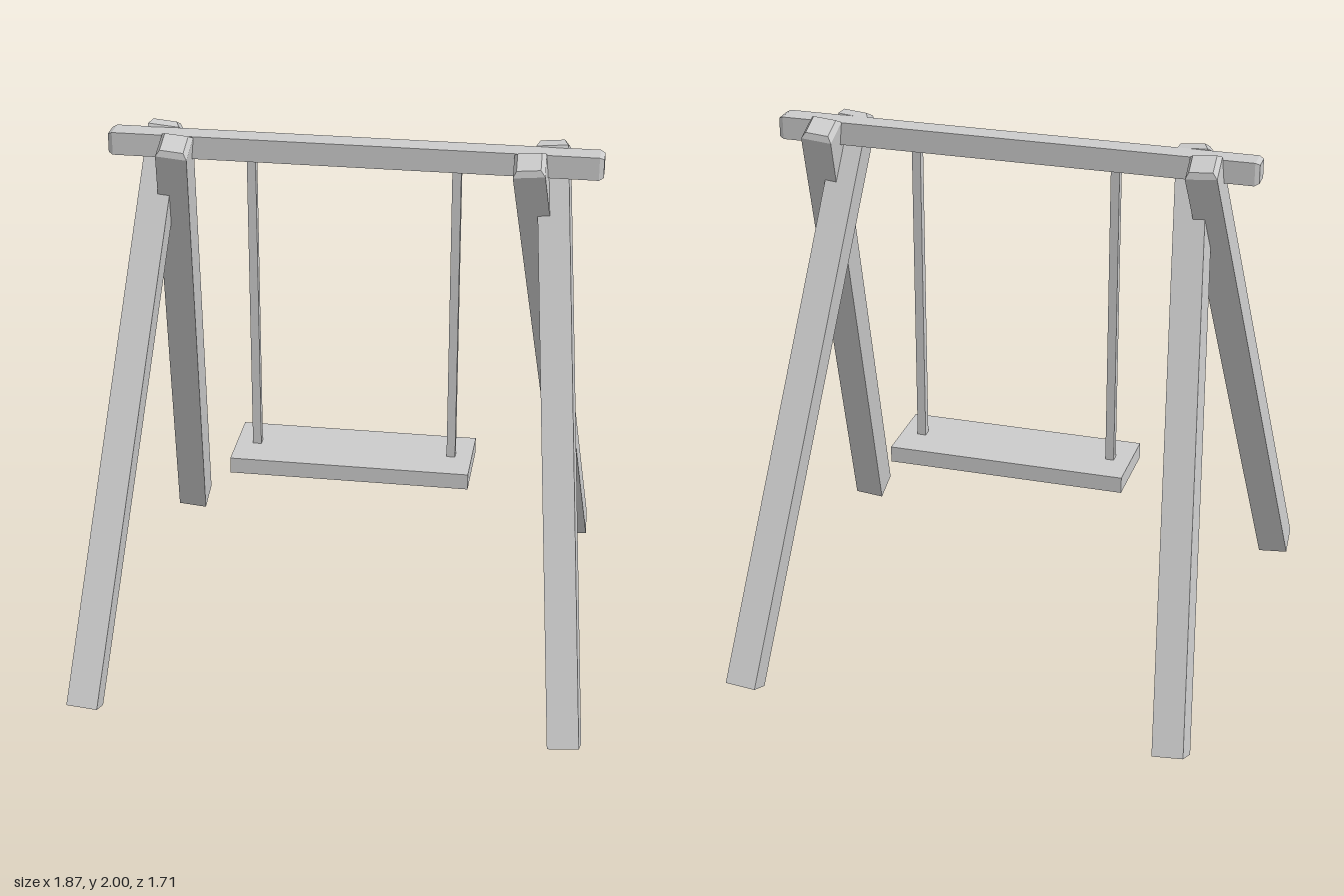
import * as THREE from 'three';

const material = new THREE.MeshStandardMaterial({ color: 0xcccccc, flatShading: true });

function addBox(parent, name, size, position) {
  const mesh = new THREE.Mesh(new THREE.BoxGeometry(...size), material);
  mesh.name = name;
  mesh.position.set(...position);
  parent.add(mesh);
  return mesh;
}

// Square timber along y, starting at y = 0, with a chamfered top and optionally a chamfered bottom
function timber(width, length, inset, depth, bothEnds) {
  const rows = bothEnds ? 3 : 2;
  const box = new THREE.BoxGeometry(width, length, width, 1, rows, 1);
  const pos = box.attributes.position;
  const heights = bothEnds ? [0, depth, length - depth, length] : [0, length - depth, length];
  const taper = (width - 2 * inset) / width;
  for (let i = 0; i < pos.count; i++) {
    const row = Math.round((pos.getY(i) / length + 0.5) * rows);
    const k = row === rows || (bothEnds && row === 0) ? taper : 1;
    pos.setXYZ(i, pos.getX(i) * k, heights[row], pos.getZ(i) * k);
  }
  const geometry = box.toNonIndexed();
  geometry.computeVertexNormals();
  return geometry;
}

export function createModel() {
  const model = new THREE.Group();
  model.name = 'swing';

  // Crossbeam
  const beamLength = 1.77;
  const beam = new THREE.Mesh(timber(0.084, beamLength, 0.008, 0.016, true), material);
  beam.name = 'crossbeam';
  beam.rotation.z = -Math.PI / 2;
  beam.position.set(-beamLength / 2, 1.931, 0);
  model.add(beam);

  // Crossed leg pairs, leaning inwards
  const spread = THREE.MathUtils.degToRad(25);
  const lean = THREE.MathUtils.degToRad(5.2);
  const legGeometry = timber(0.113, 2.148, 0.014, 0.02, false);
  for (const side of [-1, 1]) {
    const frame = new THREE.Group();
    frame.name = side > 0 ? 'leftFrame' : 'rightFrame';
    frame.position.set(side * 0.84, 0.032, 0);
    frame.rotation.z = side * lean;
    for (const front of [1, -1]) {
      const leg = new THREE.Mesh(legGeometry, material);
      leg.name = front > 0 ? 'frontLeg' : 'backLeg';
      leg.position.set(side * front * 0.035, 0, front * 0.806);
      leg.rotation.x = -front * spread;
      frame.add(leg);
    }
    model.add(frame);

    // Hanger from beam to seat
    addBox(model, side > 0 ? 'leftHanger' : 'rightHanger', [0.032, 1.17, 0.032], [side * 0.369, 1.318, 0]);
  }

  // Seat board
  addBox(model, 'seat', [0.894, 0.061, 0.294], [0, 0.712, 0]);

  return model;
}
